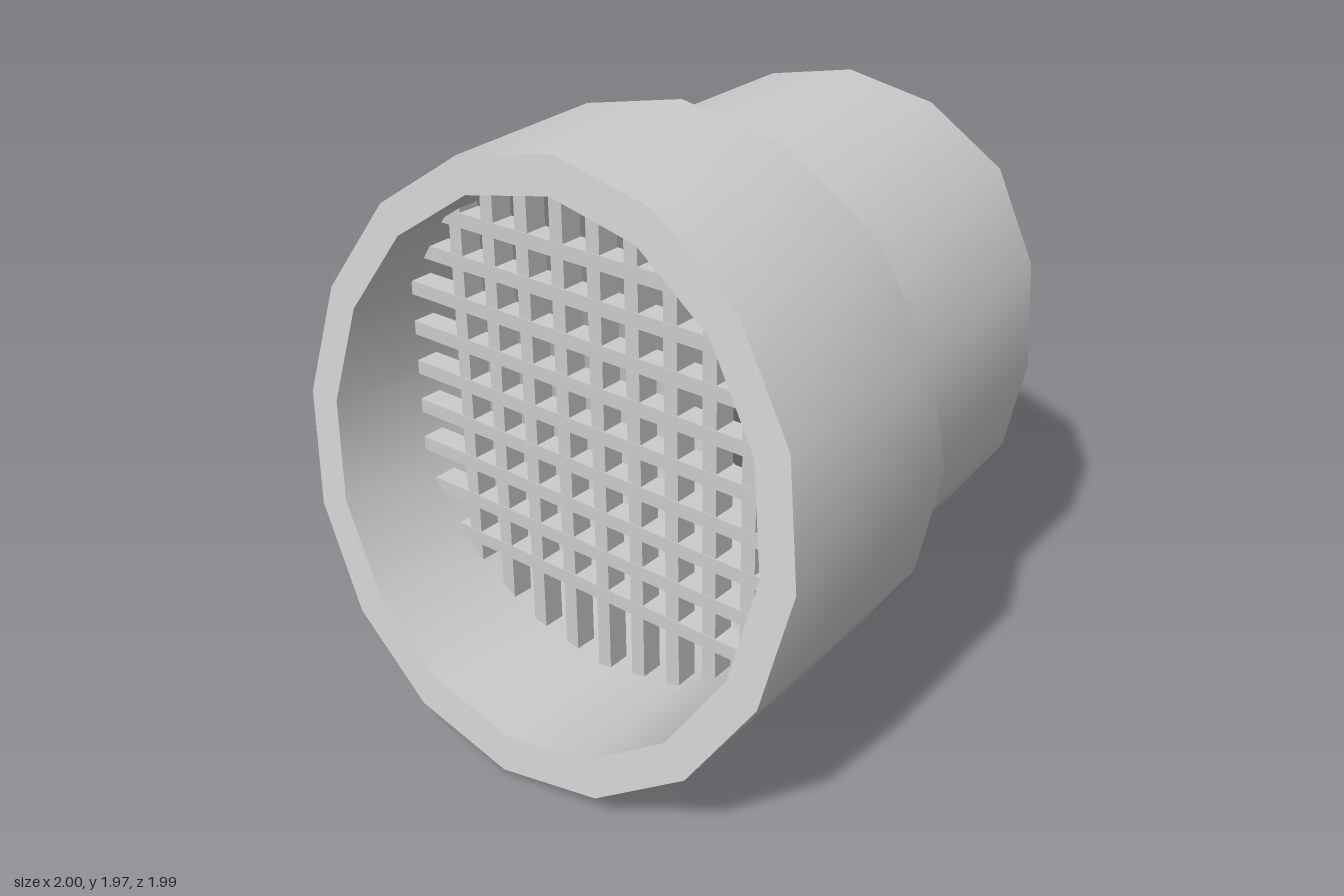
import * as THREE from 'three';

const SIDES = 16;
const CY = 0.987; // height of the pipe axis
const material = new THREE.MeshStandardMaterial({ color: 0xcccccc, side: THREE.DoubleSide });

// The axis drifts slightly towards -z along +x
const axisZ = (x) => -0.024 - 0.042 * x;

// One closed loop of points; xAt(dy, dz, angle) gives the shape of the cut
function loop(ry, rz, xAt) {
  return Array.from({ length: SIDES }, (_, i) => {
    const t = (i / SIDES) * Math.PI * 2;
    const dy = ry * Math.sin(t), dz = rz * Math.cos(t);
    const x = xAt(dy, dz, i);
    return [x, CY + dy, axisZ(x) + dz];
  });
}

// Smooth band of faces between two loops
function band(name, a, b) {
  const index = [];
  for (let i = 0; i < SIDES; i++) {
    const j = (i + 1) % SIDES;
    index.push(i, i + SIDES, j + SIDES, i, j + SIDES, j);
  }
  const geometry = new THREE.BufferGeometry();
  geometry.setAttribute('position', new THREE.Float32BufferAttribute([...a, ...b].flat(), 3));
  geometry.setIndex(index);
  geometry.computeVertexNormals();
  const mesh = new THREE.Mesh(geometry, material);
  mesh.name = name;
  return mesh;
}

export function createModel() {
  const model = new THREE.Group();
  model.name = 'pipeWithGrille';

  // Cuts: slanted mouth, square collar end, hooded pipe outlet
  const mouth = (dy) => -0.825 + 0.18 * dy;
  const collarEnd = (dy, dz) => -0.048 + 0.05 * dz + 0.008 * dy;
  const hood = [0, 0.095, 0.185, 0.188, 0.188]; // from the side up to the top
  const outlet = (dy, dz, i) => 0.785 + 0.048 * dz + (i <= 8 ? hood[Math.min(i, 8 - i)] : 0);

  const outerMouth = loop(0.968, 0.98, mouth);
  const innerMouth = loop(0.85, 0.86, mouth);

  model.add(band('collar', outerMouth, loop(0.984, 0.98, collarEnd)));
  model.add(band('mouthRim', innerMouth, outerMouth));
  model.add(band('innerPipe', innerMouth, loop(0.857, 0.86, outlet)));

  // Grille of crossing bars, shorter towards the edges, set into the pipe wall
  const grille = new THREE.Group();
  grille.name = 'grille';
  grille.position.set(-0.47, 1.0, 0.017);
  const columnHalf = [0.85, 0.85, 0.81, 0.785, 0.685];
  const rowHalf = [0.81, 0.81, 0.81, 0.765, 0.66];
  const pitch = 0.146;
  for (let i = -4; i <= 4; i++) {
    const k = Math.abs(i);
    const column = new THREE.Mesh(new THREE.BoxGeometry(0.08, 2 * columnHalf[k], 0.052), material);
    column.name = 'verticalBar';
    column.position.set(0, -0.015, i * pitch);
    const row = new THREE.Mesh(new THREE.BoxGeometry(0.085, 0.05, 2 * rowHalf[k]), material);
    row.name = 'horizontalBar';
    row.position.set(0, 0.01 + i * pitch, 0);
    grille.add(column, row);
  }
  model.add(grille);
  return model;
}
